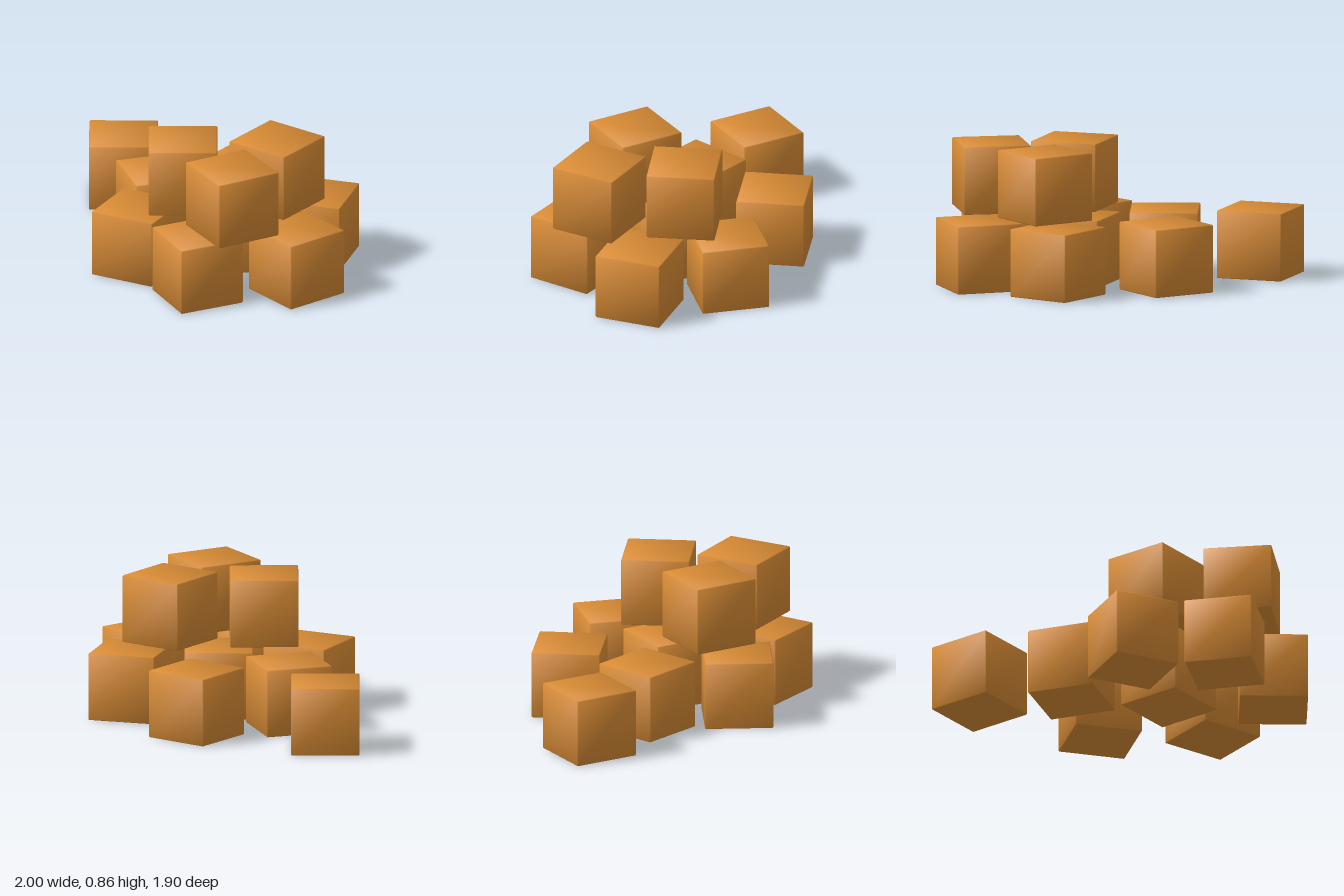
import * as THREE from 'three';
import { ConvexGeometry } from 'three/addons/geometries/ConvexGeometry.js';

const SIZE = 0.423, BEVEL = 0.006, UPPER_Y = 0.432;

// Cube with a fine bevel and softly blended corner normals
function softCube() {
  const h = SIZE / 2, i = h - BEVEL, points = [];
  for (const x of [-1, 1]) for (const y of [-1, 1]) for (const z of [-1, 1]) {
    points.push(
      new THREE.Vector3(x * h, y * i, z * i),
      new THREE.Vector3(x * i, y * h, z * i),
      new THREE.Vector3(x * i, y * i, z * h)
    );
  }
  const geo = new ConvexGeometry(points);
  const pos = geo.attributes.position, nor = geo.attributes.normal;
  const lean = (c) => Math.sign(c) * (Math.abs(c) > h - BEVEL / 2 ? 1 : 0.39);
  const n = new THREE.Vector3();
  for (let k = 0; k < pos.count; k++) {
    n.set(lean(pos.getX(k)), lean(pos.getY(k)), lean(pos.getZ(k))).normalize();
    nor.setXYZ(k, n.x, n.y, n.z);
  }
  return geo;
}

// Each cube: x, z, turn in degrees
const lowerLayer = [
  [-0.74, -0.69, 16.5], [0.115, -0.6, -21], [-0.37, -0.23, 34.5], [0.665, -0.175, 0],
  [0.166, 0.05, 16.5], [-0.326, 0.356, -11], [0.71, 0.396, -34.5], [0.152, 0.655, 42.5],
];
const upperLayer = [[-0.07, 0.24, 17], [0.481, 0.059, -20], [0.348, 0.567, -43.5]];

export function createModel() {
  const model = new THREE.Group();
  model.name = 'cubePile';
  const caramel = new THREE.MeshStandardMaterial({ color: 0xd98c35 });
  caramel.name = 'caramel';
  const cube = softCube();

  // Two layers of loosely scattered cubes
  const addLayer = (name, list, base) => {
    const layer = new THREE.Group();
    layer.name = name;
    list.forEach(([x, z, turn], k) => {
      const mesh = new THREE.Mesh(cube, caramel);
      mesh.name = `${name}Cube${k + 1}`;
      mesh.position.set(x, base + SIZE / 2, z);
      mesh.rotation.y = THREE.MathUtils.degToRad(turn);
      layer.add(mesh);
    });
    model.add(layer);
  };
  addLayer('lower', lowerLayer, 0);
  addLayer('upper', upperLayer, UPPER_Y);
  return model;
}
